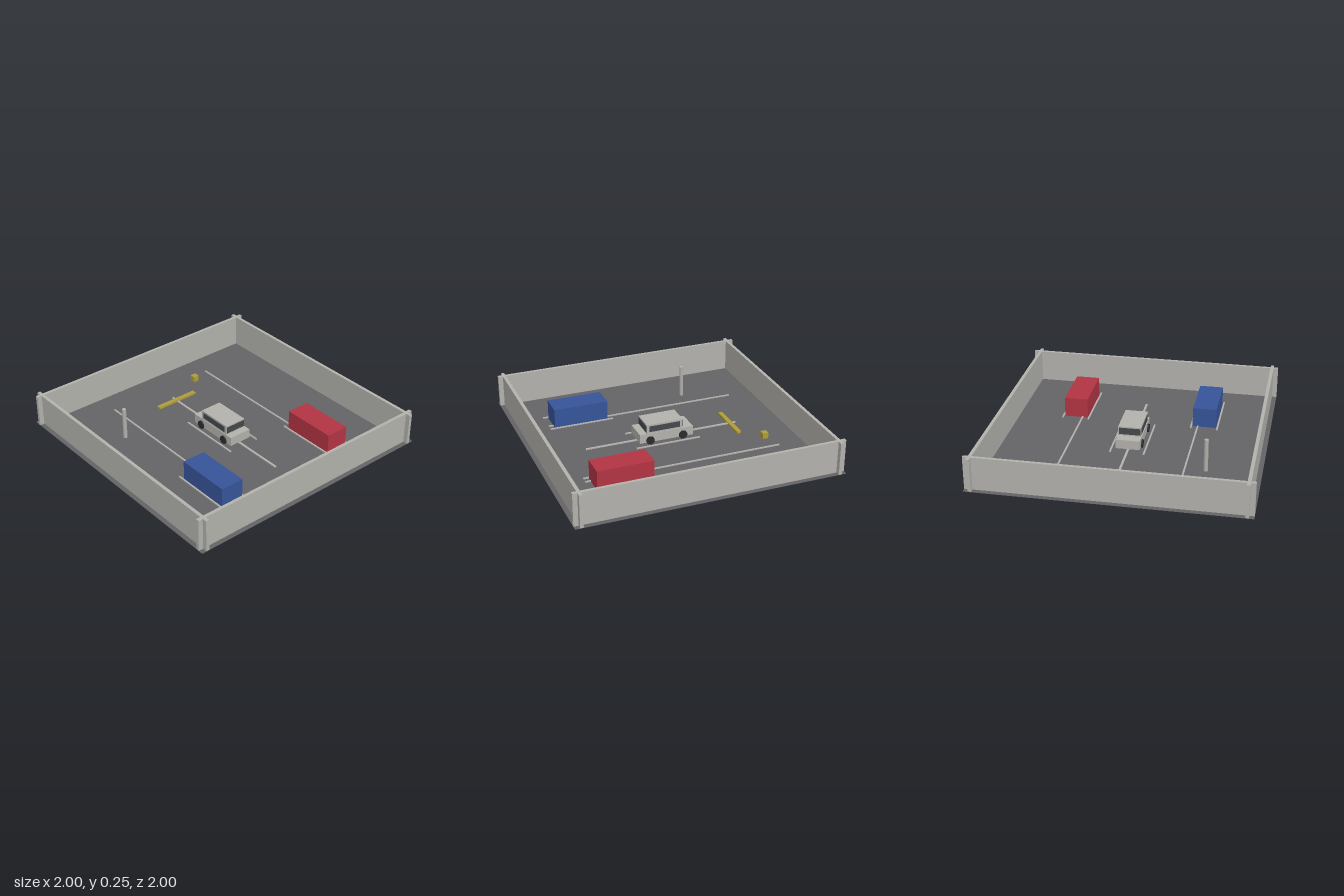
import * as THREE from 'three';

export function createModel() {
  const model = new THREE.Group();
  model.name = 'parkingYard';

  const material = (name, color) => {
    const m = new THREE.MeshStandardMaterial({ color });
    m.name = name;
    return m;
  };
  const pale = material('paleGrey', 0xb2b1ac);
  const asphalt = material('asphalt', 0x646466);
  const blue = material('blue', 0x365499);
  const red = material('red', 0xb23443);
  const yellow = material('yellow', 0xae9d3a);
  const glass = material('darkGlass', 0x45484b);
  const rubber = material('rubber', 0x2b2b2d);

  // Box given by its size, centre in x and z, and the height of its base
  const box = (parent, name, mat, w, h, d, x, base, z) => {
    const mesh = new THREE.Mesh(new THREE.BoxGeometry(w, h, d), mat);
    mesh.name = name;
    mesh.position.set(x, base + h / 2, z);
    parent.add(mesh);
    return mesh;
  };

  // Ground and the four walls, which cross at the corners
  const ground = 0.003;
  box(model, 'floor', asphalt, 2, ground, 2, 0, 0, 0);
  for (const s of [-1, 1]) {
    box(model, 'sideWall', pale, 0.025, 0.25, 2, s * 0.9525, 0, 0);
    box(model, 'endWall', pale, 2, 0.25, 0.025, 0, 0, s * 0.9525);
  }

  // Lane lines and the pairs of bay lines
  const line = (name, x, z, length, width = 0.012) =>
    box(model, name, pale, width, 0.008, length, x, ground, z);
  line('centreLine', 0, 0, 1.2, 0.016);
  for (const s of [-1, 1]) {
    line('laneLine', s * 0.45, 0, 1.5);
    line('middleBayLine', s * 0.125, 0, 0.5);
    for (const bay of [-0.5, 0.5]) line('bayLine', bay + s * 0.1, 0.5, 0.5);
  }

  // Parked block vehicles
  box(model, 'blueVehicle', blue, 0.18, 0.152, 0.42, -0.5, ground, 0.5);
  box(model, 'redVehicle', red, 0.18, 0.152, 0.42, 0.5, ground, 0.5);

  // Yellow barrier and crate
  box(model, 'barrier', yellow, 0.35, 0.015, 0.034, 0, ground, -0.552);
  box(model, 'crate', yellow, 0.045, 0.045, 0.045, 0.3, ground, -0.7);

  // Lamp post
  const post = new THREE.Mesh(new THREE.CylinderGeometry(0.016, 0.016, 0.247, 8), pale);
  post.name = 'post';
  post.position.set(-0.6, ground + 0.1235, -0.4);
  model.add(post);

  // Car in the middle bay
  const car = new THREE.Group();
  car.name = 'car';
  model.add(car);
  box(car, 'carBody', pale, 0.18, 0.07, 0.42, 0, 0.02, 0);
  box(car, 'cabin', pale, 0.17, 0.07, 0.285, 0, 0.09, 0.0125);
  box(car, 'windscreen', glass, 0.16, 0.05, 0.006, 0, 0.1, 0.156);
  box(car, 'rearWindow', glass, 0.16, 0.05, 0.006, 0, 0.1, -0.131);
  for (const s of [-1, 1]) {
    box(car, 'sideWindow', glass, 0.004, 0.045, 0.24, s * 0.086, 0.102, 0.0125);
    for (const z of [-0.13, 0.13]) {
      const wheel = new THREE.Mesh(new THREE.CylinderGeometry(0.032, 0.032, 0.018, 16), rubber);
      wheel.name = 'wheel';
      wheel.rotation.z = Math.PI / 2;
      wheel.position.set(s * 0.092, 0.036, z);
      car.add(wheel);
    }
  }

  return model;
}
